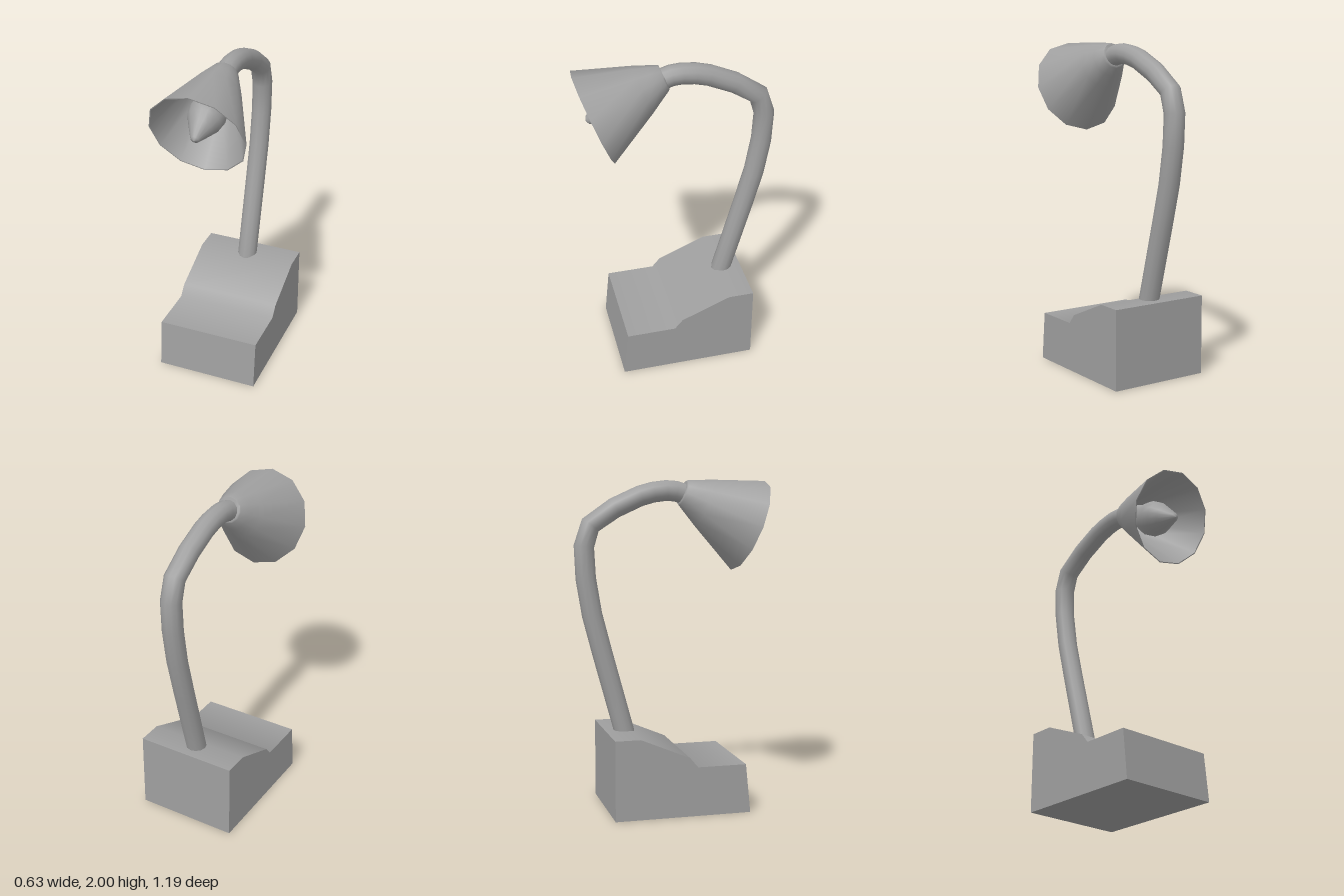
import * as THREE from 'three';
import { toCreasedNormals } from 'three/addons/utils/BufferGeometryUtils.js';

const material = new THREE.MeshStandardMaterial({ color: 0x9f9f9f, side: THREE.DoubleSide });

function part(name, geometry, crease) {
  const mesh = new THREE.Mesh(crease ? toCreasedNormals(geometry, crease) : geometry, material);
  mesh.name = name;
  return mesh;
}

const lathe = (points, sides) =>
  new THREE.LatheGeometry(points.map(([r, y]) => new THREE.Vector2(r, y)), sides);

// Leans a head part: slides each ring towards local +z in step with its height
const lean = (geometry) =>
  geometry.applyMatrix4(new THREE.Matrix4().makeShear(0, 0, 0, 0.08, 0, 0));

// Wedge-shaped base: side profile (z, y) extruded across x
function createBase() {
  const width = 0.63;
  const profile = [[0.42, 0], [0.39, 0.3], [0.09, 0.3], [0.04, 0.36],
    [-0.26, 0.487], [-0.415, 0.487], [-0.415, 0]].map(([z, y]) => new THREE.Vector2(-z, y));
  const geometry = new THREE.ExtrudeGeometry(new THREE.Shape(profile),
    { depth: width, bevelEnabled: false });
  geometry.translate(0, 0, -width / 2).rotateY(Math.PI / 2);

  // Shade the stepped top as one smooth sheet, leaving the other faces flat
  const edgeNormal = (i) => {
    const edge = profile[i + 1].clone().sub(profile[i]).normalize();
    return new THREE.Vector2(-edge.y, edge.x);
  };
  const { position, normal } = geometry.attributes;
  for (let i = 0; i < position.count; i++) {
    if (normal.getY(i) < 0.3) continue;
    const point = new THREE.Vector2(-position.getZ(i), position.getY(i));
    const k = profile.findIndex((p) => p.distanceTo(point) < 0.001);
    const n = edgeNormal(Math.max(k - 1, 1)).add(edgeNormal(Math.min(k, 4))).normalize();
    normal.setXYZ(i, 0, n.y, -n.x);
  }
  return part('base', geometry);
}

// Bent gooseneck, one ring per path point
function createNeck() {
  const path = [[-0.285, 0.42], [-0.295, 0.48], [-0.36, 0.72], [-0.425, 0.96], [-0.487, 1.2],
    [-0.523, 1.42], [-0.532, 1.61], [-0.492, 1.735], [-0.345, 1.835], [-0.19, 1.905],
    [-0.11, 1.927], [-0.03, 1.937], [0.03, 1.933], [0.1, 1.912]];
  const curve = new THREE.CatmullRomCurve3(path.map(([z, y]) => new THREE.Vector3(0, y, z)));
  curve.getPointAt = (t) => curve.getPoint(t);
  curve.getTangentAt = (t) => curve.getTangent(t);
  return part('neck', new THREE.TubeGeometry(curve, path.length - 1, 0.062, 12));
}

// Lamp head: local y runs from the shade rim back to the neck
function createHead() {
  const head = new THREE.Group();
  head.name = 'head';
  head.position.set(0, 1.7235, 0.49);
  head.rotation.x = -1.197;

  // Thin-walled conical shade, its narrow end drawn in around the neck
  const shade = lathe([[0.291, 0], [0.148, 0.32], [0.108, 0.4], [0.081, 0.455], [0.074, 0.463],
    [0.056, 0.463], [0.056, 0.45], [0.072, 0.45], [0.1, 0.4], [0.14, 0.32],
    [0.285, 0], [0.291, 0]], 12);
  head.add(part('shade', lean(shade), 0.9));

  // Socket holding the bulb
  const socket = lathe([[0, 0.25], [0.072, 0.25], [0.072, 0.38], [0.06, 0.42], [0, 0.42]], 12);
  head.add(part('socket', lean(socket), 0.7));

  // Bulb with a pointed tip
  const bulb = lathe([[0, -0.045], [0.025, -0.033], [0.072, 0.055], [0.1, 0.11],
    [0.11, 0.16], [0.1, 0.215], [0.07, 0.265], [0, 0.28]], 16);
  head.add(part('bulb', bulb));
  return head;
}

export function createModel() {
  const model = new THREE.Group();
  model.name = 'deskLamp';

  const lamp = new THREE.Group();
  lamp.name = 'lampArm';
  lamp.position.x = -0.006;
  lamp.add(createNeck(), createHead());

  model.add(createBase(), lamp);
  return model;
}
